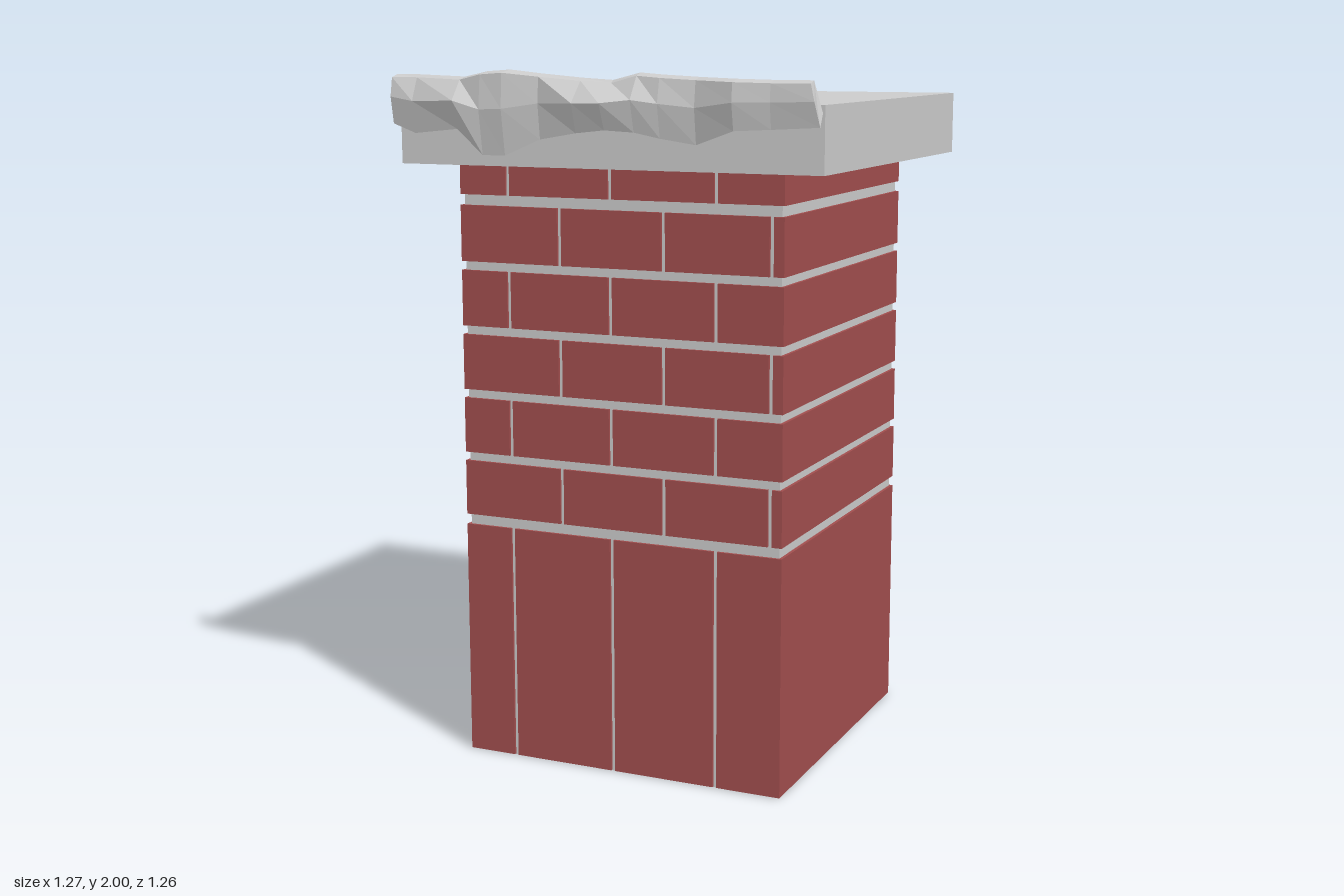
import * as THREE from 'three';

const grey = new THREE.MeshStandardMaterial({ color: 0xcccccc, flatShading: true });
const brickRed = new THREE.MeshStandardMaterial({ color: 0xa14e4e, flatShading: true });

// Box given by its lower and upper limits on each axis
function box(name, material, [x0, x1], [y0, y1], [z0, z1]) {
  const geometry = new THREE.BoxGeometry(x1 - x0, y1 - y0, z1 - z0);
  const mesh = new THREE.Mesh(geometry, material);
  mesh.position.set((x0 + x1) / 2, (y0 + y1) / 2, (z0 + z1) / 2);
  mesh.name = name;
  return mesh;
}

// Courses of bricks, each brick running the full depth of the stack
function createBricks() {
  const group = new THREE.Group();
  group.name = 'bricks';
  const left = -0.497, right = 0.485, pitch = 0.317, joint = 0.012;
  const courses = [[0.002, 0.69], [0.72, 0.88], [0.905, 1.065], [1.09, 1.25],
    [1.275, 1.435], [1.46, 1.62], [1.65, 1.737]];
  courses.forEach((ySpan, row) => {
    const offset = row % 2 === 1;
    let start = left;
    let end = offset ? -0.191 : -0.352;
    while (start < right) {
      const brick = box('brick', brickRed, [start, Math.min(end, right)], ySpan, [-0.525, 0.45]);
      // Two courses have an open end that shows the mortar
      if (start === left && (row === 3 || row === 5)) {
        const index = Array.from(brick.geometry.index.array);
        index.splice(6, 6);
        brick.geometry.setIndex(index);
        brick.geometry.clearGroups();
      }
      group.add(brick);
      start = end + joint;
      end += pitch;
    }
  });
  return group;
}

// Ragged strip hanging in front of the cap, skinned over cross-sections
function createRaggedStrip() {
  // x, top y, bottom y, back z, top edge z, ridge z
  const stations = [
    [-0.638, 1.985, 1.85, 0.54, 0.568, 0.578],
    [-0.565, 1.985, 1.825, 0.54, 0.556, 0.585],
    [-0.42, 1.98, 1.84, 0.54, 0.572, 0.617],
    [-0.35, 1.995, 1.77, 0.54, 0.585, 0.595],
    [-0.28, 2.0, 1.77, 0.54, 0.59, 0.597],
    [-0.18, 1.99, 1.815, 0.54, 0.568, 0.574],
    [-0.06, 1.98, 1.835, 0.54, 0.555, 0.612],
    [0.03, 1.975, 1.845, 0.54, 0.552, 0.63],
    [0.11, 1.995, 1.84, 0.54, 0.565, 0.608],
    [0.18, 1.99, 1.825, 0.54, 0.575, 0.59],
    [0.28, 1.985, 1.81, 0.54, 0.568, 0.578],
    [0.4, 1.982, 1.85, 0.577, 0.61, 0.616],
    [0.5, 1.98, 1.855, 0.573, 0.598, 0.603],
    [0.61, 1.98, 1.863, 0.58, 0.603, 0.61],
  ];
  const sections = stations.map(([x, top, bottom, back, edge, ridge], i) => {
    const lean = i === stations.length - 1 ? 0.025 : 0;
    const mid = bottom + 0.55 * (top - bottom);
    return [
      [x, top, back],
      [x, top - 0.008, edge],
      [x + lean / 2, mid, ridge],
      [x + lean, bottom, back + 0.65 * (ridge - back)],
      [x + lean, bottom + 0.035, back],
    ];
  });
  const points = [];
  const triangle = (a, b, c) => points.push(...a, ...b, ...c);
  for (let i = 0; i < sections.length - 1; i++) {
    const a = sections[i], b = sections[i + 1];
    for (let j = 0; j < a.length; j++) {
      const k = (j + 1) % a.length;
      triangle(a[j], a[k], b[k]);
      triangle(a[j], b[k], b[j]);
    }
  }
  // End caps
  const first = sections[0], last = sections[sections.length - 1];
  for (let j = 1; j < first.length - 1; j++) {
    triangle(first[0], first[j + 1], first[j]);
    triangle(last[0], last[j], last[j + 1]);
  }
  const geometry = new THREE.BufferGeometry();
  geometry.setAttribute('position', new THREE.Float32BufferAttribute(points, 3));
  geometry.computeVertexNormals();
  const mesh = new THREE.Mesh(geometry, grey);
  mesh.name = 'raggedStrip';
  return mesh;
}

export function createModel() {
  const model = new THREE.Group();
  model.name = 'chimney';
  model.add(
    box('mortarCore', grey, [-0.487, 0.476], [0, 1.737], [-0.517, 0.442]),
    createBricks(),
    box('capSlab', grey, [-0.64, 0.62], [1.737, 1.917], [-0.635, 0.522]),
    createRaggedStrip(),
  );
  return model;
}
